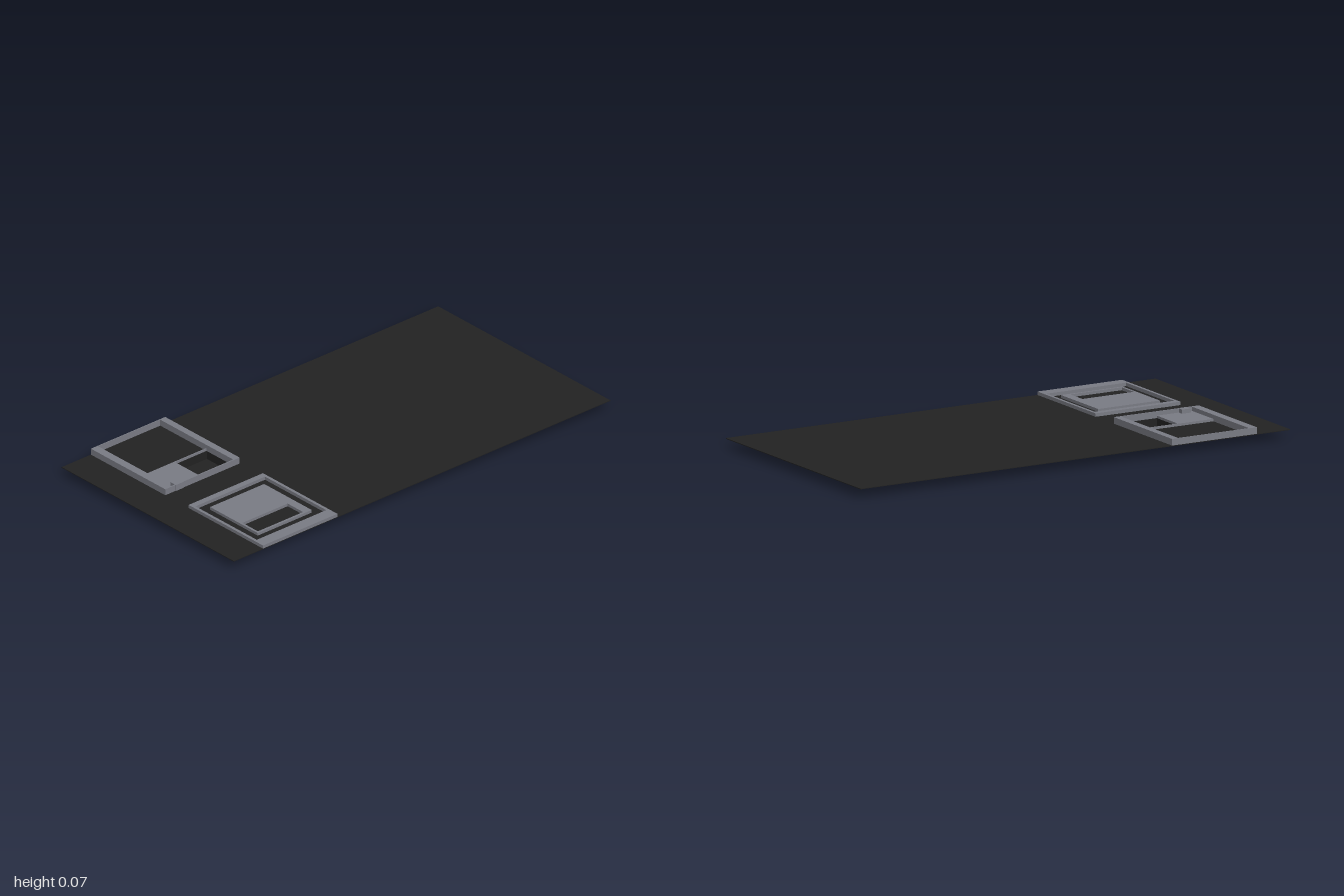
import * as THREE from 'three';

const dark = new THREE.MeshStandardMaterial({ color: 0x222222 });
dark.name = 'charcoal';
const gray = new THREE.MeshStandardMaterial({ color: 0x7a7c85 });
gray.name = 'stone gray';

// Rectangle [x0, x1, z0, z1] traced on a path; z is flipped for the later rotation
function trace(path, [x0, x1, z0, z1]) {
  path.moveTo(x0, -z1);
  path.lineTo(x1, -z1);
  path.lineTo(x1, -z0);
  path.lineTo(x0, -z0);
  path.closePath();
  return path;
}

// Horizontal slab from y0 to y1 with rectangular openings
function slab(group, name, material, rect, y0, y1, holes = []) {
  const shape = trace(new THREE.Shape(), rect);
  for (const h of holes) shape.holes.push(trace(new THREE.Path(), h));
  const geo = new THREE.ExtrudeGeometry(shape, { depth: y1 - y0, bevelEnabled: false });
  geo.rotateX(-Math.PI / 2);
  geo.translate(0, y0, 0);
  const mesh = new THREE.Mesh(geo, material);
  mesh.name = name;
  group.add(mesh);
}

export function createModel() {
  const model = new THREE.Group();
  model.name = 'sitePlan';
  const floor = 0.04;
  const pit = [-0.647, -0.478, -0.235, -0.075];

  // Ground sheet, open over the sunken pit
  slab(model, 'ground', dark, [-1, 1, -0.517, 0.517], floor - 0.003, floor, [pit]);

  // Sunken pit below the ground
  const pitOuter = [-0.652, -0.473, -0.237, -0.07];
  slab(model, 'pitWalls', dark, pitOuter, 0.003, floor - 0.003, [pit]);
  slab(model, 'pitFloor', dark, pitOuter, 0, 0.003);

  // Back enclosure: perimeter walls, low terrace and a small post
  const back = new THREE.Group();
  back.name = 'backEnclosure';
  slab(back, 'perimeterWall', gray, [-0.845, -0.45, -0.517, -0.07], floor, 0.067,
    [[-0.81, -0.48, -0.513, -0.075]]);
  slab(back, 'terrace', gray, [-0.81, -0.647, -0.24, -0.075], floor, 0.05);
  slab(back, 'pitCurb', gray, [-0.647, -0.48, -0.24, -0.235], floor, 0.05);
  slab(back, 'post', gray, [-0.79, -0.75, -0.1, -0.068], floor, 0.067);
  model.add(back);

  // Front enclosure: outer frame, trench and inner platform with a recess
  const front = new THREE.Group();
  front.name = 'frontEnclosure';
  slab(front, 'outerFrame', gray, [-0.845, -0.45, 0.07, 0.517], floor, 0.054,
    [[-0.832, -0.463, 0.097, 0.465]]);
  slab(front, 'innerPlatform', gray, [-0.79, -0.503, 0.137, 0.423], floor, 0.052,
    [[-0.78, -0.54, 0.32, 0.413]]);
  model.add(front);

  return model;
}
